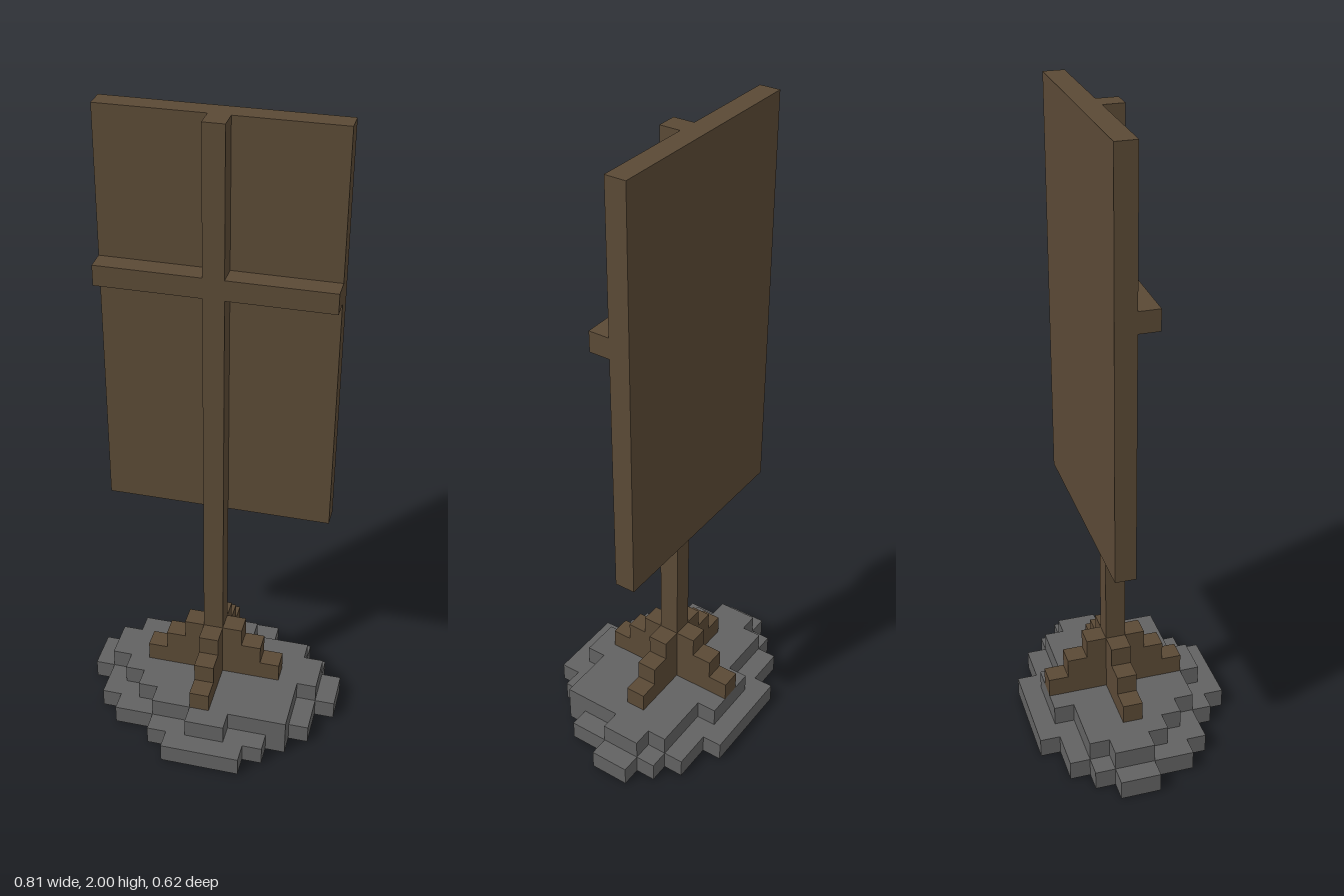
import * as THREE from 'three';

const U = 1 / 16; // one block
const POLE_Z = -0.5 * U;

const wood = new THREE.MeshStandardMaterial({ color: 0x5a4935 });
wood.name = 'dark wood';
const stone = new THREE.MeshStandardMaterial({ color: 0x616161 });
stone.name = 'grey stone';

// Box given by its limits in blocks
function block(name, [x0, x1], [y0, y1], [z0, z1], material) {
  const mesh = new THREE.Mesh(
    new THREE.BoxGeometry((x1 - x0) * U, (y1 - y0) * U, (z1 - z0) * U), material);
  mesh.position.set((x0 + x1) / 2 * U, (y0 + y1) / 2 * U, (z0 + z1) / 2 * U);
  mesh.name = name;
  return mesh;
}

// One-block-thick slab with a stepped outline; rows of [left, right] run from back to front
function slab(name, zStart, rows, bottom) {
  const right = [], left = [];
  rows.forEach(([l, r], i) => {
    const z = zStart + i;
    right.push([r, z], [r, z + 1]);
    left.unshift([l, z + 1], [l, z]);
  });
  const points = [...right, ...left].map(([x, z]) => new THREE.Vector2(x * U, z * U));
  const geometry = new THREE.ExtrudeGeometry(new THREE.Shape(points), { depth: U, bevelEnabled: false });
  geometry.rotateX(Math.PI / 2);
  const mesh = new THREE.Mesh(geometry, stone);
  mesh.position.y = (bottom + 1) * U;
  mesh.name = name;
  return mesh;
}

export function createModel() {
  const model = new THREE.Group();
  model.name = 'standing board';

  // Irregular two-layer stone base
  model.add(slab('lowerBase', -5, [
    [-2.5, 2.5], [-4.5, 4.5], [-5.5, 5.5], [-6.5, 6.5], [-6.5, 6.5],
    [-5.5, 5.5], [-5.5, 5.5], [-4.5, 4.5], [-2.5, 3.5], [-1.5, 2.5],
  ], 0));
  model.add(slab('upperBase', -4, [
    [-1.5, 1.5], [-4.5, 4.5], [-5.5, 5.5], [-5.5, 5.5],
    [-4.5, 4.5], [-3.5, 4.5], [-2.5, 4.5], [-0.5, 1.5],
  ], 1));

  // Four stepped feet around the pole
  const profile = new THREE.Shape([
    [0.5, 0], [3.5, 0], [3.5, 1], [2.5, 1], [2.5, 2], [1.5, 2], [1.5, 3], [0.5, 3],
  ].map(([x, y]) => new THREE.Vector2(x * U, y * U)));
  const footGeometry = new THREE.ExtrudeGeometry(profile, { depth: U, bevelEnabled: false });
  footGeometry.translate(0, 0, -U / 2);
  for (let i = 0; i < 4; i++) {
    const foot = new THREE.Mesh(footGeometry, wood);
    foot.name = 'foot';
    foot.position.set(0, 2 * U, POLE_Z);
    foot.rotation.y = i * Math.PI / 2;
    model.add(foot);
  }

  // Pole, crossbar arms and the board behind them
  model.add(block('pole', [-0.5, 0.5], [2, 32], [-1, 0], wood));
  model.add(block('rightArm', [-5.5, -0.5], [24, 25], [-1, 0], wood));
  model.add(block('leftArm', [0.5, 5.5], [24, 25], [-1, 0], wood));
  model.add(block('board', [-5.5, 5.5], [12, 32], [-2, -1], wood));

  return model;
}
